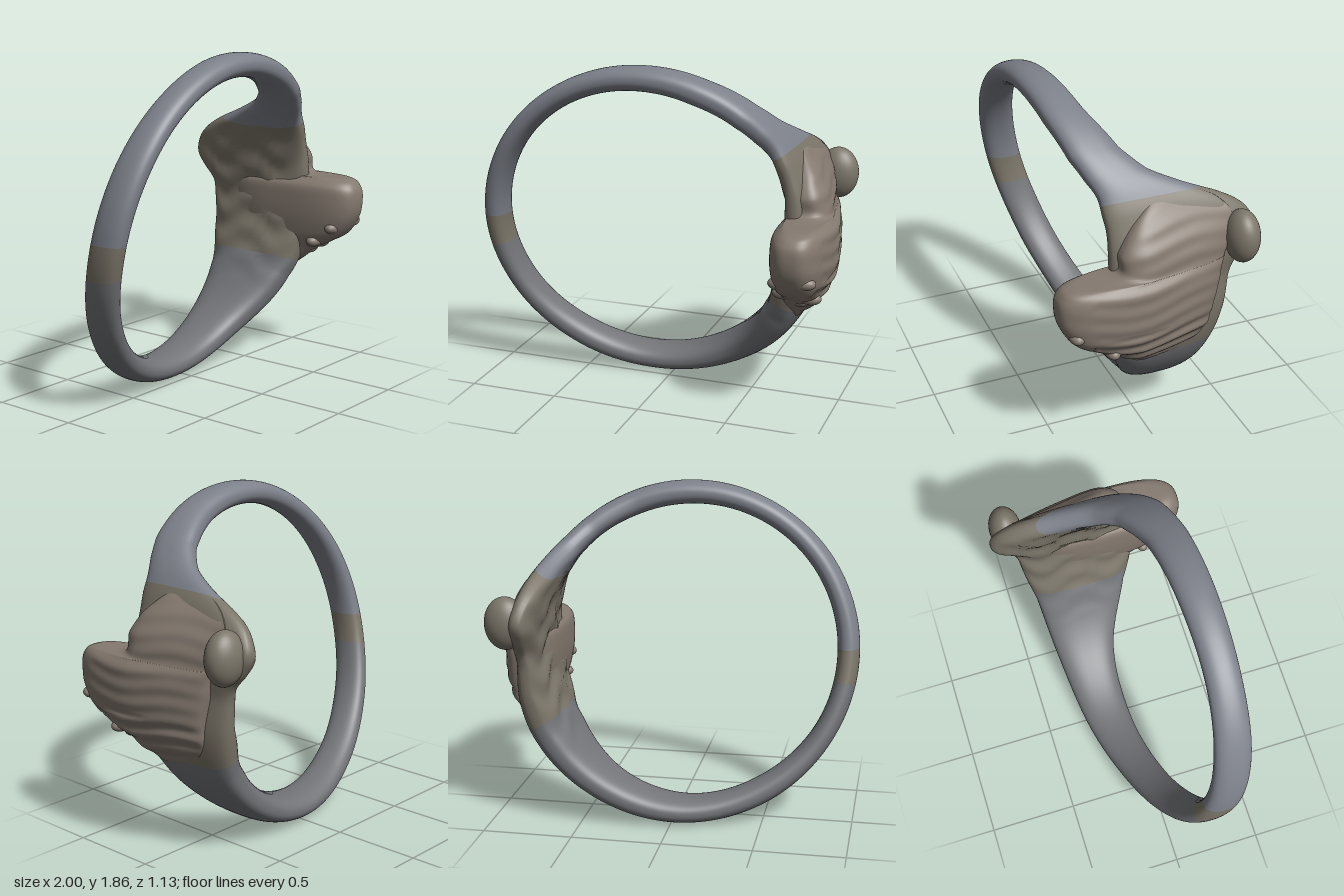
import * as THREE from 'three';

// Band stations: angle in degrees, inner radius, outer radius, back z, front z
const BAND = [
  [0, 0.775, 0.92, -0.42, 0.25], [5, 0.785, 0.93, -0.445, 0.25], [10, 0.79, 0.945, -0.51, 0.25],
  [17, 0.80, 0.965, -0.56, 0.25], [24, 0.82, 0.97, -0.51, 0.25], [29, 0.83, 0.975, -0.40, 0.26],
  [35, 0.84, 0.975, -0.19, 0.27], [41, 0.84, 0.97, -0.02, 0.31], [49, 0.835, 0.965, 0.09, 0.36],
  [66, 0.815, 0.95, 0.19, 0.41], [90, 0.80, 0.93, 0.235, 0.435], [120, 0.79, 0.91, 0.25, 0.435],
  [150, 0.79, 0.91, 0.21, 0.41], [180, 0.795, 0.92, 0.13, 0.335], [210, 0.80, 0.925, 0.0, 0.21],
  [240, 0.79, 0.93, -0.14, 0.08], [270, 0.79, 0.93, -0.26, 0.0], [300, 0.775, 0.94, -0.32, 0.02],
  [330, 0.765, 0.965, -0.36, 0.18], [346, 0.76, 0.95, -0.40, 0.25],
];
const CX = -0.08, CY = 0.93;

// Crest stations: height, back z, front z, inner x, outer x
const CREST = [
  [0.46, -0.14, 0.06, 0.68, 0.75], [0.56, -0.21, 0.18, 0.69, 0.86], [0.65, -0.26, 0.29, 0.70, 0.93],
  [0.70, -0.28, 0.38, 0.70, 0.96], [0.76, -0.29, 0.48, 0.69, 0.985], [0.86, -0.31, 0.545, 0.68, 1.0],
  [0.96, -0.33, 0.565, 0.68, 1.0], [1.04, -0.34, 0.55, 0.69, 0.995], [1.085, -0.35, 0.48, 0.73, 0.97],
  [1.10, -0.36, 0.24, 0.71, 0.96], [1.20, -0.40, 0.22, 0.71, 0.94], [1.30, -0.41, 0.16, 0.72, 0.89],
  [1.38, -0.35, 0.08, 0.71, 0.83], [1.44, -0.24, 0.0, 0.70, 0.76],
];

// Smooth curve through b and e
const cubic = (a, b, e, f, t) =>
  b + 0.5 * t * (e - a + t * (2 * a - 5 * b + 4 * e - f + t * (3 * (b - e) + f - a)));

// Band size at an angle, closing on itself
function bandAt(deg) {
  const n = BAND.length, d = ((deg % 360) + 360) % 360;
  let i = n - 1;
  while (BAND[i][0] > d) i--;
  const end = i === n - 1 ? 360 : BAND[i + 1][0];
  const t = (d - BAND[i][0]) / (end - BAND[i][0]);
  const row = k => BAND[(i + k + n) % n];
  return [1, 2, 3, 4].map(c => cubic(row(-1)[c], row(0)[c], row(1)[c], row(2)[c], t));
}

// Crest size at a fraction of its height
function crestAt(s) {
  const last = CREST.length - 1, i = Math.min(Math.floor(s * last), last - 1);
  const row = k => CREST[THREE.MathUtils.clamp(i + k, 0, last)];
  return [0, 1, 2, 3, 4].map(c => cubic(row(-1)[c], row(0)[c], row(1)[c], row(2)[c], s * last - i));
}

// Rounded-rectangle section coordinates in the range -1..1
function rounded(a, power) {
  const f = v => Math.sign(v) * Math.pow(Math.abs(v), 2 / power);
  return [f(Math.cos(a)), f(Math.sin(a))];
}

// Surface through a row of closed sections
function loft(rows, cols, point, caps) {
  const pos = [], idx = [];
  for (let i = 0; i <= rows; i++) {
    for (let j = 0; j < cols; j++) pos.push(...point(i / rows, (j / cols) * Math.PI * 2));
  }
  const at = (i, j) => i * cols + (j % cols);
  for (let i = 0; i < rows; i++) {
    for (let j = 0; j < cols; j++) {
      idx.push(at(i, j), at(i + 1, j), at(i, j + 1), at(i + 1, j), at(i + 1, j + 1), at(i, j + 1));
    }
  }
  if (caps) {
    for (let j = 1; j < cols - 1; j++) {
      idx.push(at(0, 0), at(0, j), at(0, j + 1), at(rows, 0), at(rows, j + 1), at(rows, j));
    }
  }
  const g = new THREE.BufferGeometry();
  g.setAttribute('position', new THREE.Float32BufferAttribute(pos, 3));
  g.setIndex(idx);
  g.computeVertexNormals();
  return g;
}

function bandArc(from, to) {
  return loft(Math.ceil((to - from) / 1.5), 48, (s, a) => {
    const deg = from + (to - from) * s, t = THREE.MathUtils.degToRad(deg);
    const [rIn, rOut, z0, z1] = bandAt(deg);
    // Rounder along the shank, flatter at the head
    const [u, v] = rounded(a, 2.25 + 0.5 * Math.max(0, Math.cos(t)));
    const z = (z0 + z1) / 2 + v * (z1 - z0) / 2;
    // The inside of the head is slightly uneven
    const head = Math.max(0, Math.cos(t) - 0.75) * Math.max(0, -u);
    const r = (rIn + rOut) / 2 + u * (rOut - rIn) / 2 + 0.04 * head * Math.sin(t * 26 + 2 * Math.sin(z * 16));
    return [CX + r * Math.cos(t), CY + r * Math.sin(t), z];
  }, false);
}

function crestGeometry() {
  return loft(104, 80, (s, a) => {
    const [y, z0, z1, x0, x1] = crestAt(s);
    const [u, v] = rounded(a, 2.8);
    const z = (z0 + z1) / 2 + v * (z1 - z0) / 2;
    let x = (x0 + x1) / 2 + u * (x1 - x0) / 2;
    // The outside leans inward to the back and carries worn ridges, strongest low down
    if (u > 0) {
      const depth = (z < 0.4 ? 0.006 : 0.002) * (y < 0.8 ? 1.5 : 0.5);
      x -= u * 0.15 * Math.max(0, 0.12 - z);
      x -= u * depth * (1 + Math.sin(y * 70 + 1.5 * Math.sin(z * 9)));
    }
    return [x, y, z];
  }, true);
}

export function createModel() {
  const group = new THREE.Group();
  const add = (name, geometry, color) => {
    const mesh = new THREE.Mesh(geometry, new THREE.MeshStandardMaterial({ color, side: THREE.DoubleSide }));
    mesh.name = name;
    group.add(mesh);
    return mesh;
  };
  const worn = 0x7c766a, tan = 0x857a70;

  // Band, in arcs of differing tone; the head runs out to a rounded back corner
  add('upperBand', bandArc(32, 178), 0x7d818a);
  add('wornPatch', bandArc(178, 190), worn);
  add('lowerBand', bandArc(190, 336), 0x74767a);
  add('bandHead', bandArc(336, 392), worn);

  // Raised crest with its forward horn
  add('crest', crestGeometry(), tan);

  const ball = (name, color, x, y, z, sx, sy, sz) => {
    const m = add(name, new THREE.SphereGeometry(1, 32, 20), color);
    m.position.set(x, y, z);
    m.scale.set(sx, sy, sz);
  };
  // Lip curling outward from the back corner
  ball('cornerLip', worn, 0.85, 1.18, -0.45, 0.115, 0.145, 0.09);

  // Small lumps along the underside of the horn
  for (let i = 0; i < 7; i++) {
    ball('hornLump', tan, 0.83 + 0.08 * Math.sin(i * 2.3), 0.65 + i * 0.03, 0.24 + i * 0.04, 0.06, 0.035, 0.04);
  }
  return group;
}
